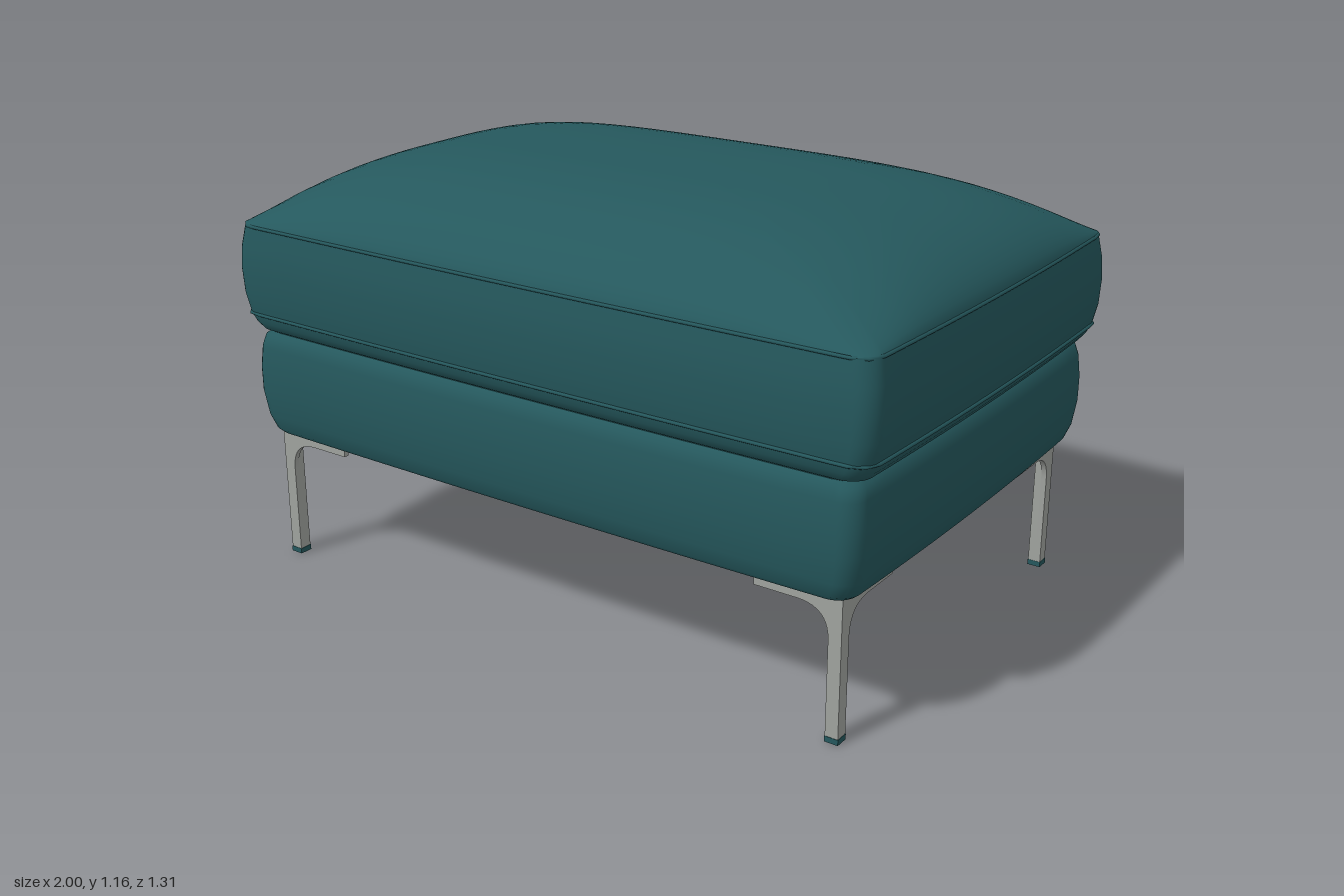
import * as THREE from 'three';
import { toCreasedNormals } from 'three/addons/utils/BufferGeometryUtils.js';

const CORNER_STEPS = 6, EDGE_STEPS = 14;

// Rounded rectangle outline with subdivided edges, running from +x towards +z
function outline(hx, hz, r) {
  const pts = [];
  const arcPoint = (k, t) => {
    const a = (k + t) * Math.PI / 2;
    const sx = k === 0 || k === 3 ? 1 : -1, sz = k < 2 ? 1 : -1;
    return new THREE.Vector2(sx * (hx - r) + r * Math.cos(a), sz * (hz - r) + r * Math.sin(a));
  };
  for (let k = 0; k < 4; k++) {
    for (let i = 0; i <= CORNER_STEPS; i++) pts.push(arcPoint(k, i / CORNER_STEPS));
    const a = arcPoint(k, 1), b = arcPoint((k + 1) % 4, 0);
    for (let i = 1; i < EDGE_STEPS; i++) pts.push(a.clone().lerp(b, i / EDGE_STEPS));
  }
  return pts;
}

// One padded cross-section: sides swell out towards their middles
function ring({ hx, hz, r = 0.05, scale = 1, height }) {
  return outline(hx, hz, r).map((p) => {
    const x = p.x * scale, z = p.y * scale;
    return new THREE.Vector3(
      x * (1 - 0.014 * (z / hz) ** 2), height(x, z), z * (1 - 0.014 * (x / hx) ** 2));
  });
}

// Joins cross-sections, ordered so that faces point outwards
function loft(rings) {
  const n = rings[0].length, index = [];
  for (let i = 0; i < rings.length - 1; i++) {
    for (let j = 0; j < n; j++) {
      const a = i * n + j, b = i * n + (j + 1) % n;
      index.push(a, a + n, b, b, a + n, b + n);
    }
  }
  const geometry = new THREE.BufferGeometry().setFromPoints(rings.flat());
  geometry.setIndex(index);
  geometry.computeVertexNormals();
  return geometry;
}

// Rings through a list of [height, half width, half depth]
const sideRings = (profile) => profile.map(([y, hx, hz]) => ring({ hx, hz, height: () => y }));
const flatCap = (y, hx, hz, scales) =>
  loft(scales.map((scale) => ring({ hx, hz, scale, height: () => y })));

export function createModel() {
  const model = new THREE.Group();
  model.name = 'footstool';
  const upholstery = new THREE.MeshStandardMaterial({ name: 'teal upholstery', color: 0x25585d });
  const metal = new THREE.MeshStandardMaterial({ name: 'brushed metal', color: 0xa0a39f });

  const add = (parent, name, geometry, material) => {
    const mesh = new THREE.Mesh(geometry, material);
    mesh.name = name;
    parent.add(mesh);
    return mesh;
  };

  // Padded base
  const base = new THREE.Group();
  base.name = 'base';
  model.add(base);
  add(base, 'baseSides', loft(sideRings([
    [0.378, 0.925, 0.615], [0.39, 0.938, 0.626], [0.43, 0.953, 0.637], [0.5, 0.962, 0.645],
    [0.57, 0.962, 0.645], [0.63, 0.956, 0.64], [0.66, 0.948, 0.632], [0.672, 0.93, 0.615],
  ])), upholstery);
  add(base, 'baseUnderside', flatCap(0.378, 0.925, 0.615, [0, 1]), upholstery);
  add(base, 'baseTop', flatCap(0.672, 0.93, 0.615, [1, 0]), upholstery);

  // Seat cushion: bulging sides and a crowned top
  const cushion = new THREE.Group();
  cushion.name = 'cushion';
  model.add(cushion);
  add(cushion, 'cushionSides', loft(sideRings([
    [0.67, 0.935, 0.61], [0.68, 0.957, 0.627], [0.7, 0.973, 0.638], [0.725, 0.984, 0.645],
    [0.78, 0.995, 0.652], [0.85, 0.998, 0.655], [0.91, 0.994, 0.652], [0.97, 0.983, 0.643],
  ])), upholstery);
  add(cushion, 'cushionUnderside', flatCap(0.67, 0.935, 0.61, [0, 1]), upholstery);

  const hx = 0.983, hz = 0.643;
  const crown = (x, z) => 0.97 + 0.195
    * Math.max(0, 1 - Math.abs(x / hx) ** 4) ** 0.6
    * Math.max(0, 1 - Math.abs(z / hz) ** 3) ** 0.7;
  const domeRings = [];
  for (let k = 0; k <= 24; k++) {
    domeRings.push(ring({ hx, hz, scale: 1 - (k / 24) ** 1.8, height: crown }));
  }
  add(cushion, 'cushionTop', loft(domeRings), upholstery);

  // Piped seams around the cushion
  for (const [name, y, sx, sz] of [['upperPiping', 0.97, 0.982, 0.642], ['lowerPiping', 0.725, 0.985, 0.646]]) {
    const path = new THREE.CatmullRomCurve3(ring({ hx: sx, hz: sz, height: () => y }), true);
    add(cushion, name, new THREE.TubeGeometry(path, 160, 0.005, 6, true), upholstery);
  }

  // Corner legs: square post with two curved bracket arms
  const arm = new THREE.Shape();
  arm.moveTo(0, 0.015);
  arm.lineTo(0.035, 0.015);
  arm.lineTo(0.035, 0.265);
  arm.bezierCurveTo(0.035, 0.32, 0.065, 0.347, 0.12, 0.347);
  arm.lineTo(0.237, 0.347);
  arm.lineTo(0.237, 0.382);
  arm.lineTo(0, 0.382);
  arm.closePath();
  const thickness = 0.015;
  const armX = toCreasedNormals(
    new THREE.ExtrudeGeometry(arm, { depth: thickness, bevelEnabled: false, curveSegments: 10 }), 0.6);
  const armZ = armX.clone().rotateY(-Math.PI / 2).translate(thickness, 0, 0);
  const post = new THREE.BoxGeometry(0.035, 0.365, 0.035).translate(0.0175, 0.1975, 0.0175);
  const foot = new THREE.BoxGeometry(0.037, 0.015, 0.037).translate(0.0175, 0.0075, 0.0175);

  const corners = [
    ['backRightLeg', -0.905, -0.585, 0], ['backLeftLeg', 0.897, -0.585, -1],
    ['frontLeftLeg', 0.897, 0.588, 2], ['frontRightLeg', -0.905, 0.588, 1],
  ];
  for (const [name, x, z, turns] of corners) {
    const leg = new THREE.Group();
    leg.name = name;
    leg.position.set(x, 0, z);
    leg.rotation.y = turns * Math.PI / 2;
    add(leg, 'sideArm', armX, metal);
    add(leg, 'depthArm', armZ, metal);
    add(leg, 'post', post, metal);
    add(leg, 'footPad', foot, upholstery);
    model.add(leg);
  }
  return model;
}
